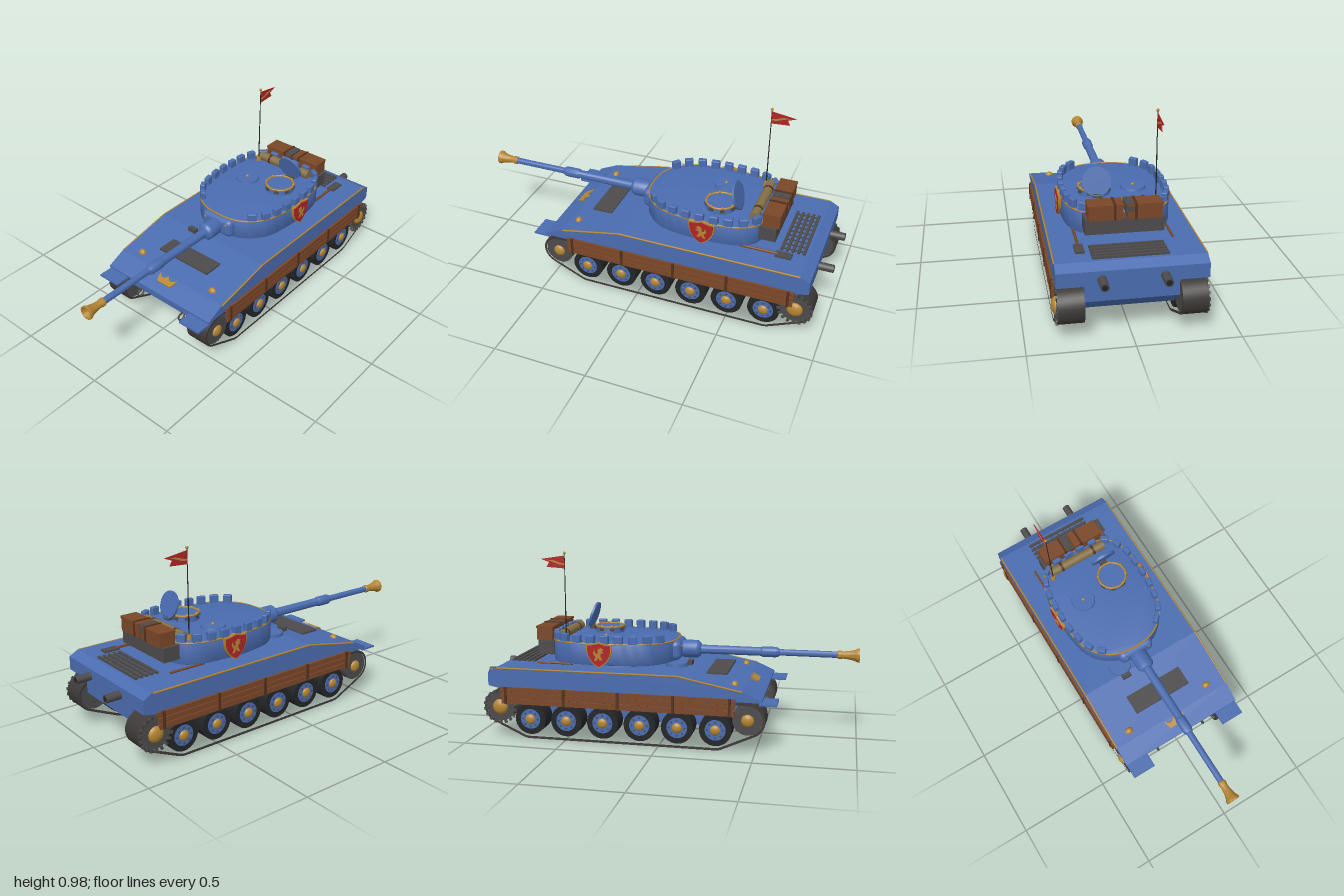
import * as THREE from 'three';
import { toCreasedNormals } from 'three/addons/utils/BufferGeometryUtils.js';
import { RoundedBoxGeometry } from 'three/addons/geometries/RoundedBoxGeometry.js';

const mat = (name, color, side = THREE.FrontSide) => new THREE.MeshStandardMaterial({ name, color, side });
const blue = mat('blue paint', 0x4a6cb0), gold = mat('gold', 0xb58532), brown = mat('brown wood', 0x7a4728),
  darkBrown = mat('dark leather', 0x54301c), grey = mat('dark steel', 0x4c4a4a), track = mat('track', 0x3d3a38),
  black = mat('rubber', 0x222427), khaki = mat('canvas', 0x857045), red = mat('red cloth', 0xb02424, THREE.DoubleSide);
const H = Math.PI / 2;

export function createModel() {
  const model = new THREE.Group();
  const add = (name, geo, material, x = 0, y = 0, z = 0, parent = model) => {
    const m = new THREE.Mesh(geo, material);
    m.name = name;
    m.position.set(x, y, z);
    parent.add(m);
    return m;
  };
  const box = (name, m, w, h, d, x, y, z, p) => add(name, new THREE.BoxGeometry(w, h, d), m, x, y, z, p);
  const cyl = (r1, r2, h, n = 28) => new THREE.CylinderGeometry(r1, r2, h, n);
  const cylX = (r, h, n) => cyl(r, r, h, n).rotateZ(H);
  const shapeOf = pts => new THREE.Shape(pts.map(p => new THREE.Vector2(...p)));
  // side profile in (z, y), extruded across x and centred
  const profile = (shape, w) => new THREE.ExtrudeGeometry(shape, { depth: w, bevelEnabled: false })
    .translate(0, 0, -w / 2).rotateY(-H);

  // ---- hull
  const deck = [[0.53, 0.27], [0.43, 0.315], [0.1, 0.38], [-0.87, 0.378], [-0.92, 0.352]];
  add('upperHull', profile(shapeOf([[0.53, 0.26], ...deck, [-0.92, 0.28], [-0.85, 0.265]]), 0.71), blue);
  add('lowerHull', profile(shapeOf([[0.5, 0.27], [0.5, 0.195], [0.36, 0.093], [-0.78, 0.093],
    [-0.9, 0.19], [-0.9, 0.285]]), 0.44), blue);
  box('frontPlate', grey, 0.335, 0.01, 0.11, 0, 0.358, 0.275);
  add('driverHatch', cyl(0.06, 0.062, 0.02), blue, -0.11, 0.388, 0.05);
  box('driverPeriscope', grey, 0.05, 0.024, 0.025, -0.11, 0.4, 0.125);
  for (let i = 0; i < 5; i++) box('engineGrille', grey, 0.36, 0.012, 0.014, 0, 0.383, -0.845 + i * 0.029);
  for (let i = 0; i < 9; i++) box('engineGrilleBar', grey, 0.006, 0.007, 0.125, -0.16 + i * 0.04, 0.381, -0.787);

  // crown badge lying on the nose
  const crown = shapeOf([[-0.045, -0.025], [0.045, -0.025], [0.06, 0.022], [0.03, 0.003], [0.015, 0.008],
    [0, 0.026], [-0.015, 0.008], [-0.03, 0.003], [-0.06, 0.022]]);
  const badge = add('crownBadge', new THREE.ExtrudeGeometry(crown, { depth: 0.008, bevelEnabled: false }), gold, 0, 0.305, 0.457);
  badge.rotation.x = -H + 0.42;

  // ---- running gear outline: belt round idler, road wheels and sprocket
  const beltPoints = r => {
    const out = [], d = Math.PI / 180;
    for (const [z, y, a, b, n] of [[0.46, 0.165, 90, -67, 14], [0.295, 0.09, -67, -90, 3],
      [-0.695, 0.09, -90, -113, 3], [-0.858, 0.165, -113, -270, 14]])
      for (let i = 0; i <= n; i++) {
        const t = (a + (b - a) * i / n) * d;
        out.push([z + r * Math.cos(t), y + r * Math.sin(t)]);
      }
    return out;
  };
  const belt = shapeOf(beltPoints(0.09));
  belt.holes.push(shapeOf(beltPoints(0.077)));
  const beltGeo = toCreasedNormals(profile(belt, 0.125), 0.5);
  const dome = r => new THREE.SphereGeometry(r, 18, 8, 0, Math.PI * 2, 0, H).rotateZ(-H);

  for (const s of [1, -1]) {
    const side = new THREE.Group();
    side.name = s > 0 ? 'leftSide' : 'rightSide';
    model.add(side);
    add('trackBelt', beltGeo, track, s * 0.2875, 0, 0, side);
    const hub = (r, x, y, z) => {
      const h = add('hub', dome(r), gold, s * x, y, z, side);
      if (s < 0) h.rotation.y = Math.PI;
      h.scale.x = 0.55;
    };
    // road wheels
    for (let i = 0; i < 6; i++) {
      const z = 0.295 - i * 0.198, y = 0.103;
      add('tyre', cylX(0.084, 0.1, 32), black, s * 0.288, y, z, side);
      add('wheelDisc', cylX(0.054, 0.106, 24), blue, s * 0.288, y, z, side);
      for (let k = 0; k < 8; k++)
        add('wheelBolt', cylX(0.005, 0.006, 6), grey, s * 0.342, y + 0.041 * Math.sin(k * H / 2), z + 0.041 * Math.cos(k * H / 2), side);
      hub(0.027, 0.34, y, z);
    }
    // idler and toothed sprocket
    add('idler', cylX(0.077, 0.118), grey, s * 0.288, 0.165, 0.46, side);
    hub(0.033, 0.346, 0.165, 0.46);
    add('sprocket', cylX(0.077, 0.124), grey, s * 0.288, 0.165, -0.858, side);
    for (let k = 0; k < 18; k++) {
      const a = k / 18 * Math.PI * 2;
      const t = box('sprocketTooth', grey, 0.008, 0.022, 0.014, s * 0.351, 0.165 + 0.082 * Math.cos(a), -0.858 + 0.082 * Math.sin(a), side);
      t.rotation.x = a;
    }
    hub(0.042, 0.349, 0.165, -0.858);
    // plank skirts with straps
    for (let i = 0; i < 3; i++)
      box('skirtPlank', brown, 0.012, 0.027, 1.25 - (2 - i) * 0.005, s * 0.361, 0.2 + i * 0.031, -0.225, side);
    for (const z of [0.37, 0.08, -0.21, -0.5, -0.82]) box('skirtStrap', darkBrown, 0.01, 0.092, 0.014, s * 0.366, 0.231, z, side);
    // gold edging along the deck
    const edge = deck.slice(1, 4).map(([z, y]) => new THREE.Vector3(s * 0.355, y - 0.003, z));
    for (let i = 0; i < 2; i++)
      add('deckTrim', new THREE.TubeGeometry(new THREE.LineCurve3(edge[i], edge[i + 1]), 1, 0.005, 6), gold, 0, 0, 0, side);
    box('mudFlap', blue, 0.13, 0.01, 0.09, s * 0.287, 0.25, 0.56, side);
    const lamp = add('headlamp', new THREE.SphereGeometry(0.023, 18, 8, 0, Math.PI * 2, 0, H), gold, s * 0.25, 0.321, 0.38, side);
    lamp.scale.z = 0.8;
    const ring = add('towRing', new THREE.TorusGeometry(0.022, 0.005, 8, 20), grey, s * 0.148, 0.18, 0.508, side);
    ring.rotation.y = H;
    // exhaust with a dark mouth
    add('exhaust', cyl(0.021, 0.021, 0.1, 18).rotateX(H), grey, s * 0.145, 0.31, -0.949, side);
    add('exhaustMouth', cyl(0.014, 0.014, 0.003, 18).rotateX(H), black, s * 0.145, 0.31, -0.9985, side);
  }

  // ---- turret
  const turret = new THREE.Group();
  turret.name = 'turret';
  model.add(turret);
  const half = [[0.08, 0.032], [0.16, -0.005], [0.23, -0.085], [0.262, -0.22], [0.266, -0.38], [0.245, -0.52], [0.18, -0.605]];
  const plan = [...half, ...half.map(([x, z]) => [-x, z]).reverse()].map(([x, z]) => new THREE.Vector3(x, 0, z));
  const outline = new THREE.CatmullRomCurve3(plan, true);
  const turretShape = shapeOf(outline.getSpacedPoints(72).slice(0, 72).map(p => [p.x, -p.z]));
  const shell = new THREE.ExtrudeGeometry(turretShape, { depth: 0.1, bevelThickness: 0.008, bevelSize: 0.008, bevelOffset: -0.006, bevelSegments: 2 });
  add('turretShell', toCreasedNormals(shell.rotateX(-H), 0.5), blue, 0, 0.402, 0, turret);
  add('turretRing', cyl(0.24, 0.245, 0.03, 40), blue, 0, 0.386, -0.28, turret);
  add('turretTrim', new THREE.TubeGeometry(outline, 80, 0.005, 6, true), gold, 0, 0.507, 0, turret);
  // battlements
  for (let i = 0; i < 26; i++) {
    const u = (i + 0.5) / 26, p = outline.getPointAt(u), t = outline.getTangentAt(u);
    if (p.z > -0.01) continue;
    const m = add('battlement', new RoundedBoxGeometry(0.028, 0.046, 0.046, 1, 0.005), blue, p.x * 0.965, 0.53, -0.3 + (p.z + 0.3) * 0.97, turret);
    m.rotation.y = Math.atan2(t.x, t.z);
  }
  // mantlet and gun
  add('mantlet', new RoundedBoxGeometry(0.205, 0.106, 0.07, 4, 0.03), blue, 0, 0.452, 0.032, turret);
  for (const s of [1, -1]) add('mantletBolt', new THREE.SphereGeometry(0.007, 8, 6), gold, s * 0.072, 0.477, 0.064, turret);
  const lathe = (pts, n = 28) => toCreasedNormals(new THREE.LatheGeometry(pts.map(p => new THREE.Vector2(...p)), n).rotateX(H), 0.5);
  add('gunBarrel', lathe([[0, 0.04], [0.04, 0.05], [0.048, 0.075], [0.048, 0.145], [0.036, 0.16], [0.024, 0.165], [0.023, 0.485],
    [0.028, 0.495], [0.028, 0.565], [0.023, 0.58], [0.017, 0.585], [0.017, 0.9]]), blue, 0, 0.45, 0, turret);
  add('muzzle', lathe([[0.018, 0.885], [0.022, 0.89], [0.022, 0.905], [0.019, 0.915], [0.022, 0.945], [0.029, 0.975], [0.037, 0.99],
    [0.037, 1], [0.03, 1], [0.018, 0.965], [0.017, 0.94]]), gold, 0, 0.45, 0, turret);
  add('bore', new THREE.CircleGeometry(0.019, 20), black, 0, 0.45, 0.945, turret);

  // commander's cupola with open lid
  const cx = 0.1, cz = -0.375;
  add('cupola', cyl(0.076, 0.08, 0.036), blue, cx, 0.526, cz, turret);
  add('cupolaRing', new THREE.TorusGeometry(0.077, 0.006, 8, 32).rotateX(H), gold, cx, 0.544, cz, turret);
  for (let k = 0; k < 8; k++) {
    const a = (k + 0.5) * H / 2;
    const b = box('visionBlock', grey, 0.024, 0.013, 0.012, cx + 0.078 * Math.sin(a), 0.53, cz + 0.078 * Math.cos(a), turret);
    b.rotation.y = a;
    add('cupolaBolt', new THREE.SphereGeometry(0.008, 8, 6), gold, cx + 0.077 * Math.sin(a), 0.548, cz + 0.077 * Math.cos(a), turret);
  }
  add('cupolaLid', cyl(0.073, 0.073, 0.012), blue, cx, 0.602, -0.465, turret).rotation.x = H + 0.3;
  box('lidHinge', grey, 0.04, 0.02, 0.03, cx, 0.535, -0.475, turret);
  add('loaderHatch', cyl(0.062, 0.066, 0.014), blue, -0.105, 0.516, -0.34, turret);
  add('hatchKnob', new THREE.SphereGeometry(0.009, 10, 8), gold, -0.105, 0.526, -0.34, turret);

  // heraldic shields on both flanks
  const shield = k => {
    const s = new THREE.Shape();
    s.moveTo(-0.066 * k, 0.052 * k);
    s.quadraticCurveTo(-0.03 * k, 0.052 * k, 0, 0.064 * k);
    s.quadraticCurveTo(0.03 * k, 0.052 * k, 0.066 * k, 0.052 * k);
    s.bezierCurveTo(0.068 * k, 0, 0.05 * k, -0.04 * k, 0, -0.066 * k);
    s.bezierCurveTo(-0.05 * k, -0.04 * k, -0.068 * k, 0, -0.066 * k, 0.052 * k);
    return s;
  };
  const beast = shapeOf([[0.012, 0.036], [0.028, 0.026], [0.016, 0.018], [0.03, 0.008], [0.012, 0.006], [0.01, -0.008],
    [0.022, -0.03], [0.006, -0.03], [-0.002, -0.016], [-0.012, -0.034], [-0.026, -0.034], [-0.016, -0.014],
    [-0.03, 0.006], [-0.022, 0.028], [-0.018, 0.006], [-0.006, 0.004], [-0.004, 0.028]]);
  for (const s of [1, -1]) {
    add('shieldRim', profile(shield(1.05), 0.018), gold, s * 0.272, 0.453, -0.33, turret);
    add('shieldFace', profile(shield(0.95), 0.008), red, s * 0.281, 0.453, -0.33, turret);
    add('shieldEmblem', profile(beast, 0.005), gold, s * 0.2845, 0.456, -0.33, turret);
  }

  // rear rack, crates and bedroll
  box('stowageRack', grey, 0.38, 0.075, 0.09, 0, 0.463, -0.65, turret);
  for (const s of [1, -1]) {
    box('crate', brown, 0.165, 0.075, 0.088, s * 0.093, 0.537, -0.664, turret);
    box('crateLid', brown, 0.171, 0.012, 0.094, s * 0.093, 0.569, -0.664, turret);
    box('crateStrap', darkBrown, 0.012, 0.08, 0.096, s * 0.05, 0.539, -0.664, turret);
  }
  box('rackLatch', grey, 0.04, 0.04, 0.09, -0.02, 0.557, -0.664, turret);
  add('bedroll', cylX(0.025, 0.34, 20), khaki, -0.01, 0.53, -0.57, turret);
  for (const x of [-0.11, 0.09]) add('bedrollStrap', cylX(0.0265, 0.014, 20), darkBrown, x, 0.53, -0.57, turret);

  // shovel and axe on the rear deck
  box('shovelBlade', grey, 0.045, 0.01, 0.085, 0.227, 0.387, -0.752);
  add('shovelHandle', cyl(0.007, 0.007, 0.2, 10).rotateX(H), brown, 0.227, 0.389, -0.62);
  add('axeHandle', cyl(0.006, 0.006, 0.2, 10).rotateX(H), brown, -0.232, 0.389, -0.59);

  // aerial and swallow-tailed pennant
  const ax = -0.18, az = -0.54;
  add('aerialBase', cyl(0.01, 0.014, 0.03, 12), gold, ax, 0.522, az, turret);
  add('aerial', cyl(0.002, 0.0035, 0.45, 8), black, ax, 0.745, az, turret);
  add('aerialBall', new THREE.SphereGeometry(0.008, 12, 8), gold, ax, 0.971, az, turret);
  add('pennant', profile(shapeOf([[0, 0.958], [-0.065, 0.948], [-0.13, 0.938], [-0.085, 0.922], [-0.1, 0.896], [0, 0.89]]), 0.004), red, ax, 0, az, turret);
  add('pennantStripe', profile(shapeOf([[0, 0.916], [-0.03, 0.922], [-0.065, 0.934], [-0.1, 0.934], [-0.065, 0.924], [-0.03, 0.911], [0, 0.908]]), 0.007), gold, ax, 0, az, turret);

  return model;
}
